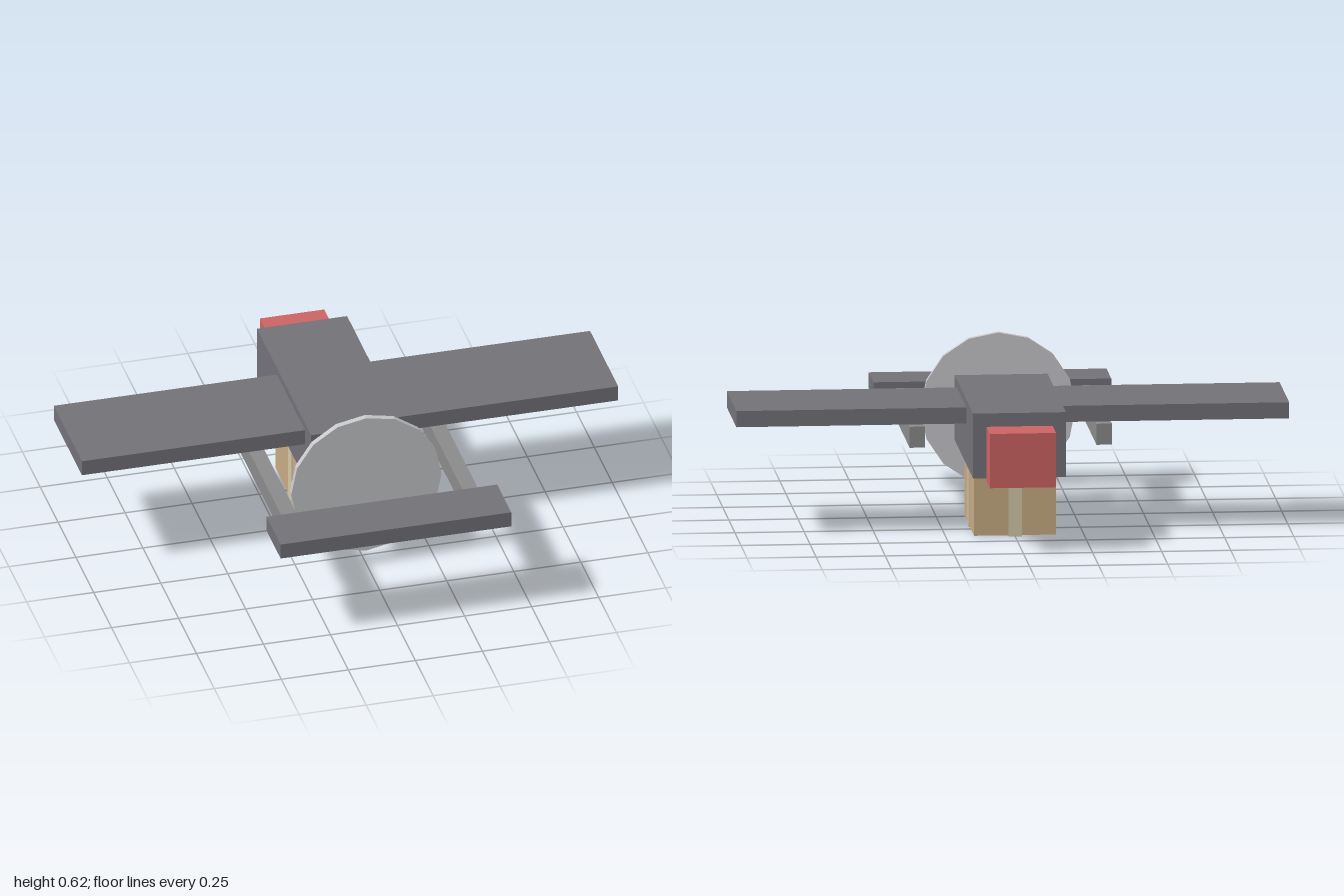
import * as THREE from 'three';

const paint = (color) => new THREE.MeshStandardMaterial({ color, flatShading: true });

export function createModel() {
  const model = new THREE.Group();
  const dark = paint(0x727177);
  const boomGrey = paint(0x8a8a8a);
  const motorGrey = paint(0x4c4c55);
  const discGrey = paint(0xc6c7cb);
  const red = paint(0xcc6262);
  const card = paint(0xc6aa82);
  const tape = paint(0xd3c8a6);

  // Box given by its [min, max] extent on each axis
  function block(name, material, [x0, x1], [y0, y1], [z0, z1], parent = model) {
    const mesh = new THREE.Mesh(new THREE.BoxGeometry(x1 - x0, y1 - y0, z1 - z0), material);
    mesh.position.set((x0 + x1) / 2, (y0 + y1) / 2, (z0 + z1) / 2);
    mesh.name = name;
    parent.add(mesh);
    return mesh;
  }

  // Fuselage, wing and tail block
  block('fuselage', dark, [-0.168, 0.168], [0.248, 0.486], [-0.588, 0.17]);
  block('wing', dark, [-1, 1], [0.398, 0.457], [-0.31, 0.085]);
  block('tailBlock', red, [-0.12, 0.12], [0.238, 0.437], [-0.73, -0.588]);

  // Booms carrying the front wing
  for (const [name, side] of [['leftBoom', 1], ['rightBoom', -1]]) {
    const boom = block(name, boomGrey, [-0.028, 0.028], [0.297, 0.374], [-0.228, 0.61]);
    boom.position.x = side * 0.338;
  }
  block('frontWing', dark, [-0.43, 0.43], [0.338, 0.397], [0.53, 0.728]);

  // Motor and propeller disc
  block('motor', motorGrey, [-0.088, 0.088], [0.257, 0.416], [0.17, 0.28]);
  const disc = new THREE.Mesh(new THREE.CylinderGeometry(0.28, 0.28, 0.023, 16), discGrey);
  disc.name = 'propellerDisc';
  disc.rotation.x = Math.PI / 2;
  disc.position.set(0, 0.337, 0.302);
  model.add(disc);

  // Parcel slung under the body, with two crossing bands of tape
  const parcel = new THREE.Group();
  parcel.name = 'parcel';
  model.add(parcel);
  block('carton', card, [-0.148, 0.148], [0.004, 0.247], [-0.406, -0.006], parcel);
  block('lengthwiseTape', tape, [-0.024, 0.024], [0, 0.247], [-0.411, -0.001], parcel);
  block('crosswiseTape', tape, [-0.152, 0.152], [0.001, 0.247], [-0.214, -0.165], parcel);

  return model;
}
